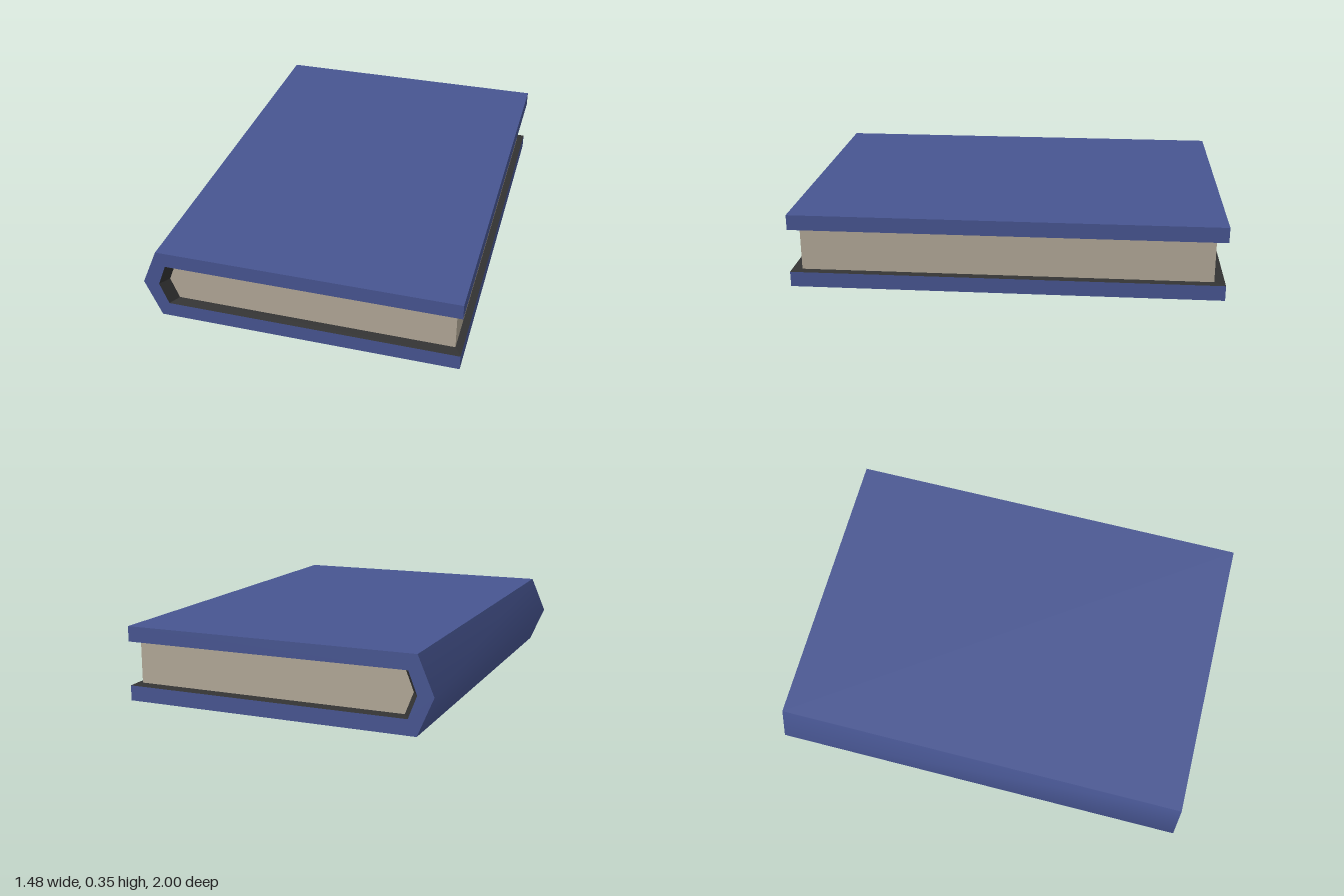
import * as THREE from 'three';
import { toCreasedNormals } from 'three/addons/utils/BufferGeometryUtils.js';

const COVER_Z = 1;
const PAGE_Z = 0.95;

// Cross-sections in x, y
const outer = [[0.738, 0], [-0.663, 0], [-0.738, 0.176], [-0.663, 0.352], [0.738, 0.352]];
const hollow = [[0.738, 0.072], [-0.623, 0.072], [-0.663, 0.176], [-0.623, 0.28], [0.738, 0.28]];
const block = [[0.706, 0.076], [-0.592, 0.076], [-0.631, 0.176], [-0.592, 0.276], [0.706, 0.276]];

function material(name, color) {
  const m = new THREE.MeshStandardMaterial({ color });
  m.name = name;
  return m;
}

// Extrude a closed section along z, centred on z = 0
function prism(points, halfDepth) {
  const shape = new THREE.Shape(points.map(([x, y]) => new THREE.Vector2(x, y)));
  const geometry = new THREE.ExtrudeGeometry(shape, { depth: halfDepth * 2, bevelEnabled: false });
  return geometry.translate(0, 0, -halfDepth);
}

// Sloping strips that join the hollow of the cover to the page block
function liningGeometry() {
  const positions = [];
  const quad = (a, b, c, d) => positions.push(...a, ...b, ...c, ...a, ...c, ...d);
  const rim = (i, s) => [...hollow[i], s * COVER_Z];
  const page = (i, s) => [...block[i], s * PAGE_Z];
  // Head and tail ends
  for (let i = 0; i < 4; i++) {
    quad(rim(i, 1), page(i, 1), page(i + 1, 1), rim(i + 1, 1));
    quad(rim(i, -1), rim(i + 1, -1), page(i + 1, -1), page(i, -1));
  }
  // Fore edge, below and above the pages
  quad(rim(0, 1), rim(0, -1), page(0, -1), page(0, 1));
  quad(rim(4, 1), page(4, 1), page(4, -1), rim(4, -1));
  const geometry = new THREE.BufferGeometry();
  geometry.setAttribute('position', new THREE.Float32BufferAttribute(positions, 3));
  geometry.computeVertexNormals();
  return geometry;
}

export function createModel() {
  const blue = material('coverBlue', 0x475591);
  const paper = material('paper', 0xb2a897);
  const dark = material('liningDark', 0x333333);
  dark.side = THREE.DoubleSide;

  const book = new THREE.Group();
  book.name = 'book';
  const add = (name, geometry, mat) => {
    const mesh = new THREE.Mesh(geometry, mat);
    mesh.name = name;
    book.add(mesh);
  };

  // One-piece cover, its spine ridge shaded smoothly
  const coverSection = [...outer, ...[...hollow].reverse()];
  add('cover', toCreasedNormals(prism(coverSection, COVER_Z), THREE.MathUtils.degToRad(50)), blue);
  add('pages', prism(block, PAGE_Z), paper);
  add('lining', liningGeometry(), dark);
  return book;
}
